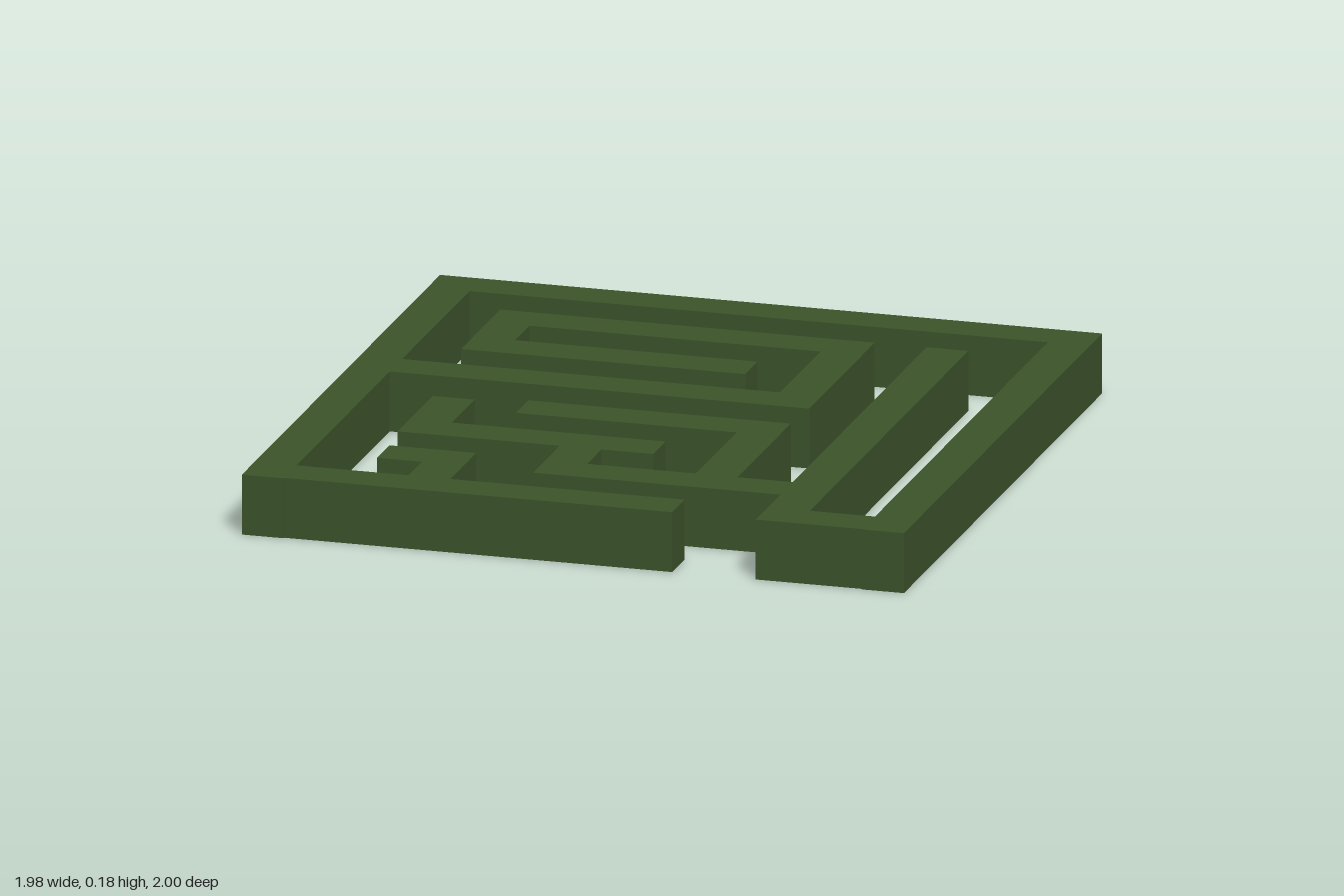
import * as THREE from 'three';

const HEIGHT = 0.18;

// Each wall: name, x from, x to, z from, z to
const WALLS = [
  // outer border with an entrance gap in the front
  ['leftBorder', 0.865, 0.99, -1, 1],
  ['rightBorder', -0.99, -0.865, -1, 1],
  ['backBorder', -0.865, 0.865, -1, -0.875],
  ['frontBorderLong', -0.865, 0.295, 0.87, 0.995],
  ['frontBorderShort', 0.545, 0.865, 0.87, 0.995],
  // spiral at the back
  ['spiralBase', -0.865, 0.39, -0.195, -0.07],
  ['spiralSide', 0.265, 0.39, -0.605, -0.195],
  ['spiralTop', -0.73, 0.39, -0.73, -0.605],
  ['spiralTurn', -0.73, -0.605, -0.605, -0.46],
  ['spiralEnd', -0.73, 0.12, -0.46, -0.335],
  // long corridor wall and entrance passage
  ['corridorWall', 0.545, 0.67, -0.73, 0.62],
  ['entranceStub', 0.545, 0.67, 0.745, 0.87],
  ['entranceWall', -0.195, 0.67, 0.62, 0.745],
  ['entranceHook', -0.195, -0.07, 0.475, 0.62],
  // middle hook
  ['hookPost', 0.255, 0.38, 0.083, 0.62],
  ['hookArm', -0.405, 0.255, 0.083, 0.208],
  // free-standing corner
  ['cornerPost', -0.68, -0.555, 0.12, 0.35],
  ['cornerArm', -0.68, 0.085, 0.35, 0.475],
  // small hook on the front border
  ['smallHookPost', -0.53, -0.405, 0.735, 0.87],
  ['smallHookArm', -0.665, -0.405, 0.61, 0.735],
];

export function createModel() {
  const maze = new THREE.Group();
  maze.name = 'hedgeMaze';
  const hedgeGreen = new THREE.MeshStandardMaterial({ color: 0x3b532a });
  hedgeGreen.name = 'hedge green';

  for (const [name, x0, x1, z0, z1] of WALLS) {
    const wall = new THREE.Mesh(new THREE.BoxGeometry(x1 - x0, HEIGHT, z1 - z0), hedgeGreen);
    wall.name = name;
    wall.position.set((x0 + x1) / 2, HEIGHT / 2, (z0 + z1) / 2);
    maze.add(wall);
  }
  return maze;
}
